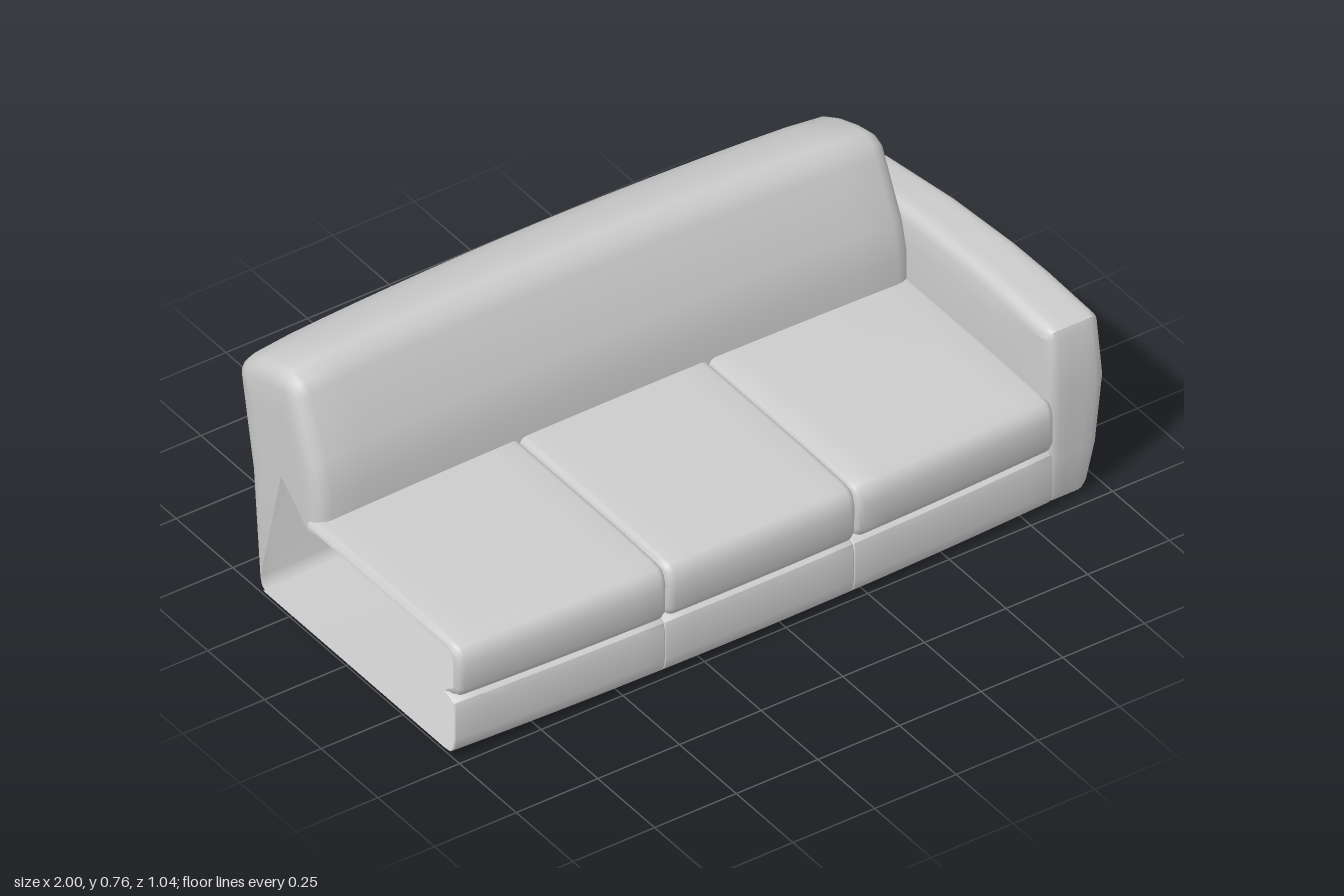
import * as THREE from 'three';
import { toCreasedNormals } from 'three/addons/utils/BufferGeometryUtils.js';

const material = new THREE.MeshStandardMaterial({ color: 0xcccccc, side: THREE.DoubleSide });
const MID = -0.085, HALF = 0.915; // centre and half length of the long body

// Skin a [z, y, weight] profile along x. Each station is [x, inset, collapse]:
// inset pulls weighted points inward, collapse draws them to the cap centre.
function shell(name, profile, stations, centre, closed, deform) {
  const n = profile.length, pos = [], index = [];
  for (const [x, inset, collapse = 0] of stations) {
    profile.forEach(([z, y, w = 1], j) => {
      const a = profile[closed ? (j + n - 1) % n : Math.max(j - 1, 0)];
      const b = profile[closed ? (j + 1) % n : Math.min(j + 1, n - 1)];
      const dz = b[0] - a[0], dy = b[1] - a[1], len = Math.hypot(dz, dy);
      const k = (collapse > 0 && x > 0) ? collapse : collapse * w;
      const pz = THREE.MathUtils.lerp(z - dy / len * inset * w, centre[0], k);
      const py = THREE.MathUtils.lerp(y + dz / len * inset * w, centre[1], k);
      pos.push(...deform(x, py, pz));
    });
  }
  const spans = closed ? n : n - 1;
  for (let i = 0; i < stations.length - 1; i++) {
    for (let j = 0; j < spans; j++) {
      const a = i * n + j, c = i * n + (j + 1) % n, b = a + n, d = c + n;
      index.push(a, b, c, b, d, c);
    }
  }
  const geometry = new THREE.BufferGeometry();
  geometry.setAttribute('position', new THREE.Float32BufferAttribute(pos, 3));
  geometry.setIndex(index);
  const mesh = new THREE.Mesh(toCreasedNormals(geometry, 0.75), material);
  mesh.name = name;
  return mesh;
}

// Stations from x0 to x1 with quarter-round ends of radius r
function roundedSpan(x0, x1, r, steps, capStart, capEnd) {
  const ends = [0, 0.1, 0.3, 0.6, 1].map(t => [t * r, r - r * Math.sqrt(1 - (1 - t) ** 2)]);
  const out = ends.map(([d, i]) => [x0 + d, i]);
  for (let s = 1; s < steps; s++) out.push([x0 + r + (x1 - x0 - 2 * r) * s / steps, 0]);
  out.push(...ends.map(([d, i]) => [x1 - d, i]).reverse());
  const caps = [0.25, 0.5, 0.75, 1];
  if (capStart) out.unshift(...caps.map(c => [x0, r, c]).reverse());
  if (capEnd) out.push(...caps.map(c => [x1, r, c]));
  return out;
}

// Gentle bow of the front, back and top along the length
function bow(x, y, z) {
  const u = Math.abs((x - MID) / HALF);
  const drop = y > 0.3 ? 0.02 * u * u + (y > 0.5 ? 0.025 * u ** 20 : 0) : 0;
  return [x, y * (1 - drop), z * (1 - 0.05 * u * u)];
}

// Rounded corner as three points, given the corner and its two neighbours' directions
function corner(z, y, dz1, dy1, dz2, dy2, r) {
  return [
    [z + dz1 * r, y + dy1 * r],
    [z + (dz1 + dz2) * r * 0.29, y + (dy1 + dy2) * r * 0.29],
    [z + dz2 * r, y + dy2 * r],
  ];
}

export function createModel() {
  const group = new THREE.Group();
  group.name = 'sofa';

  // Base: floor and front panel, hollow, open at the unfinished end
  const base = [
    [-0.385, 0.01, 0], [0.46, 0.01, 0], [0.485, 0.014, 0], [0.5, 0.03], [0.506, 0.06],
    [0.506, 0.15], [0.5, 0.172], [0.48, 0.184], [0.455, 0.187],
  ];
  const cushion = [
    [0.455, 0.187, 0], [0.485, 0.188], [0.508, 0.198], [0.52, 0.222], [0.521, 0.3],
    [0.513, 0.33], [0.497, 0.348], [0.465, 0.355], [0.3, 0.36], [0, 0.36], [-0.18, 0.36],
  ];
  const seams = [-1, -0.372, 0.207, 0.83];
  const panels = new THREE.Group(), cushions = new THREE.Group();
  panels.name = 'base';
  cushions.name = 'seatCushions';
  for (let i = 0; i < 3; i++) {
    panels.add(shell('basePanel', base, roundedSpan(seams[i], seams[i + 1], 0.004, 8), [0, 0.1], false, bow));
    cushions.add(shell('seatCushion', cushion, roundedSpan(seams[i], seams[i + 1], 0.022, 8), [0.2, 0.3], false, bow));
  }
  group.add(panels, cushions);

  // Backrest: raked front, soft top and a back panel reaching the floor
  const back = [
    [-0.14, 0.32], [-0.14, 0.44], [-0.165, 0.545], [-0.243, 0.705], [-0.262, 0.74], [-0.3, 0.757],
    [-0.36, 0.746], [-0.44, 0.718], [-0.495, 0.69], [-0.521, 0.66], [-0.52, 0.63],
    [-0.467, 0.36], [-0.405, 0.04, 0], [-0.398, 0.018, 0], [-0.385, 0.01, 0],
  ];
  group.add(shell('backrest', back, roundedSpan(-0.995, 0.83, 0.045, 16, true, true), [-0.31, 0.42], false, bow));

  // Single arm: rounded slab whose outer side tapers to the back and the foot
  const arm = [
    ...corner(-0.395, 0, -0.1, 1, 1, 0, 0.035),
    [-0.1, 0], [0.2, 0],
    ...corner(0.465, 0, -1, 0, 0, 1, 0.035),
    [0.474, 0.15], [0.478, 0.35],
    ...corner(0.465, 0.545, 0, -1, -1, 0, 0.03),
    [0.25, 0.552], [0.1, 0.553], [-0.15, 0.545],
    ...corner(-0.443, 0.525, 1, 0.05, 0, -1, 0.03),
    [-0.436, 0.35], [-0.42, 0.18],
  ];
  const taper = (x, y, z) => {
    const t = (x - 0.82) / 0.18;
    const rear = 0.045 * (Math.max(0, 0.3 - z) / 0.74) ** 2;
    const foot = 0.05 * (Math.max(0, 0.35 - y) / 0.35) ** 1.6;
    const head = 0.012 * (Math.max(0, y - 0.35) / 0.2) ** 2;
    return [x - t * (rear + foot + head) + (1 - t) * head, y, z];
  };
  group.add(shell('arm', arm, roundedSpan(0.82, 1, 0.035, 4, true, true), [0.1, 0.3], true, taper));

  return group;
}
